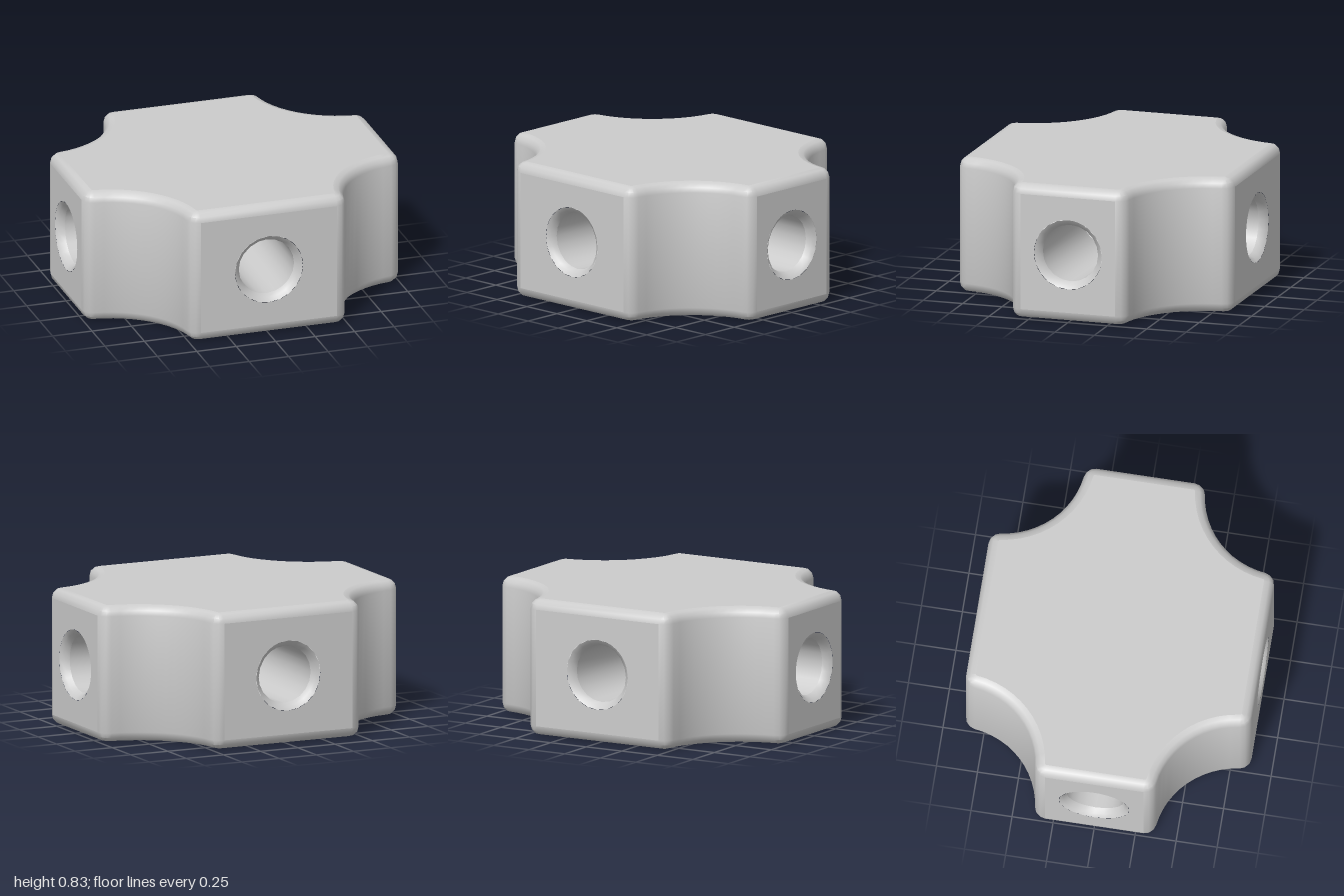
import * as THREE from 'three';
import { toCreasedNormals } from 'three/addons/utils/BufferGeometryUtils.js';

const X = 1, Z = 0.87, H = 0.835, MID = 0.42; // half sizes, height, bore height
const BEVEL = 0.06, CORNER = 0.07;
const BORE = 0.175, MOUTH = 0.215, SIDES = 20;
const HALF_WIDTH = { z: 0.43, x: 0.30 };       // flat half widths of the end faces

const material = new THREE.MeshStandardMaterial({ color: 0xcccccc });

function addMesh(group, name, geometry) {
  const mesh = new THREE.Mesh(geometry, material);
  mesh.name = name;
  group.add(mesh);
  return mesh;
}

// Closed rings of points joined into a skin; skip(a, b) leaves gaps.
function skin(rings, skip = () => false) {
  const positions = [];
  for (let r = 0; r < rings.length - 1; r++) {
    const low = rings[r], high = rings[r + 1], n = low.length;
    for (let i = 0; i < n; i++) {
      const j = (i + 1) % n;
      if (skip(low[i], low[j])) continue;
      for (const p of [low[i], low[j], high[j], low[i], high[j], high[i]]) positions.push(p.x, p.y, p.z);
    }
  }
  const geometry = new THREE.BufferGeometry();
  geometry.setAttribute('position', new THREE.Float32BufferAttribute(positions, 3));
  geometry.computeVertexNormals();
  return toCreasedNormals(geometry, 0.62);
}

// Cross-shaped plan: rounded arm corners joined by a tangent scoop in each quadrant.
function outline(inset) {
  const dx = HALF_WIDTH.z, dz = Z - CORNER;
  const tilt = Math.atan2(Z - dz, X - dx);
  const scoop = Math.hypot(X - dx, Z - dz) - CORNER + inset;
  const r = CORNER - inset;
  const quarter = [];
  const arc = (cx, cz, radius, from, to, steps, start = 0) => {
    for (let i = start; i <= steps; i++) {
      const a = from + (to - from) * i / steps;
      quarter.push([cx + radius * Math.cos(a), cz + radius * Math.sin(a)]);
    }
  };
  arc(dx, dz, r, Math.PI / 2, tilt, 3);
  arc(X, Z, scoop, Math.PI + tilt, Math.PI * 1.5 - tilt, 12, 1);
  arc(X - CORNER, HALF_WIDTH.x, r, Math.PI / 2 - tilt, 0, 3, 1);
  const back = [...quarter].reverse();
  return [
    ...quarter,
    ...back.map(([x, z]) => [x, -z]),
    ...quarter.map(([x, z]) => [-x, -z]),
    ...back.map(([x, z]) => [-x, z]),
  ];
}

function createBody(group) {
  // Side walls with rounded upper and lower edges; the end faces are left open
  const level = (inset, y) => outline(inset).map(([x, z]) => new THREE.Vector3(x, y, z));
  const lower = [], upper = [];
  for (let i = 0; i <= 3; i++) {
    const t = i / 3 * Math.PI / 2;
    const inset = BEVEL * (1 - Math.sin(t)), y = BEVEL * (1 - Math.cos(t));
    lower.push(level(inset, y));
    upper.unshift(level(inset, H - y));
  }
  const isEnd = (a, b) => Math.abs(a.y - BEVEL) < 1e-6 && a.distanceTo(b) > 0.3;
  addMesh(group, 'sideWalls', skin([...lower, ...upper], isEnd));

  // Flat top and bottom
  const plan = new THREE.Shape(outline(BEVEL).map(([x, z]) => new THREE.Vector2(x, z)));
  const cap = new THREE.ShapeGeometry(plan);
  addMesh(group, 'topFace', cap.clone().rotateX(-Math.PI / 2).translate(0, H, 0));
  addMesh(group, 'bottomFace', cap.clone().rotateX(Math.PI / 2));
}

function createArmEnd(length, half, name) {
  const arm = new THREE.Group();
  arm.name = name;

  // Flat end face pierced by the bore mouth
  const face = new THREE.Shape([
    new THREE.Vector2(-half, BEVEL), new THREE.Vector2(half, BEVEL),
    new THREE.Vector2(half, H - BEVEL), new THREE.Vector2(-half, H - BEVEL),
  ]);
  face.holes.push(new THREE.Path().absarc(0, MID, MOUTH, 0, Math.PI * 2, true));
  addMesh(arm, 'endFace', new THREE.ShapeGeometry(face, SIDES).translate(0, 0, length));

  const ring = (radius, depth) => Array.from({ length: SIDES }, (_, i) => {
    const a = i / SIDES * Math.PI * 2;
    const x = radius * Math.cos(a);
    return new THREE.Vector3(x, MID + radius * Math.sin(a), depth(x));
  });
  // Flared mouth, then the bore, mitred where it meets the crossing bore
  const rim = ring(BORE, () => length - 0.05);
  addMesh(arm, 'boreMouth', skin([
    ring(MOUTH, () => length), ring(0.19, () => length - 0.018), rim,
  ]));
  addMesh(arm, 'bore', skin([rim, ring(BORE, Math.abs)]));
  return arm;
}

export function createModel() {
  const model = new THREE.Group();
  model.name = 'crossBlock';
  createBody(model);
  ['front', 'left', 'back', 'right'].forEach((side, i) => {
    const arm = i % 2
      ? createArmEnd(X, HALF_WIDTH.x, side + 'Arm')
      : createArmEnd(Z, HALF_WIDTH.z, side + 'Arm');
    arm.rotation.y = i * Math.PI / 2;
    model.add(arm);
  });
  return model;
}
